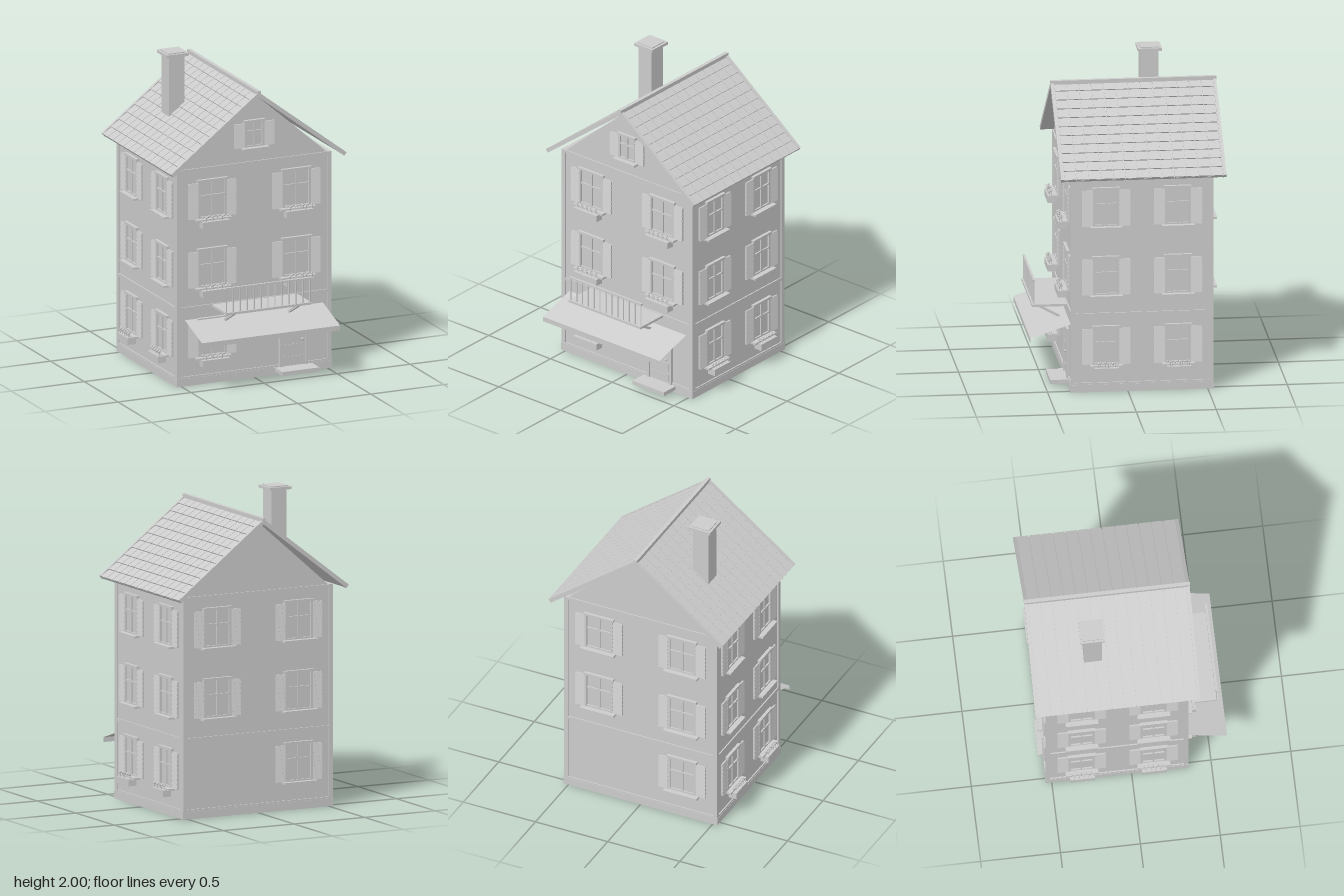
import * as THREE from 'three';
import { mergeGeometries } from 'three/addons/utils/BufferGeometryUtils.js';

const mat = new THREE.MeshStandardMaterial({ color: 0xcccccc, flatShading: true });
const thinMat = new THREE.MeshStandardMaterial({ color: 0xcccccc, flatShading: true, side: THREE.DoubleSide });

// Box between two corners on each axis
const span = (x0, x1, y0, y1, z0, z1) =>
  new THREE.BoxGeometry(x1 - x0, y1 - y0, z1 - z0).translate((x0 + x1) / 2, (y0 + y1) / 2, (z0 + z1) / 2);

function part(name, geoms, material = mat) {
  const mesh = new THREE.Mesh(mergeGeometries([].concat(geoms)), material);
  mesh.name = name;
  return mesh;
}

function group(name, ...children) {
  const g = new THREE.Group();
  g.name = name;
  if (children.length) g.add(...children);
  return g;
}

// Wall planes
const WX = 0.522, ZF = 0.348, ZB = -0.527;

// Window with its origin at the bottom centre of the sill, facing +z
function makeWindow({ w = 0.195, h = 0.25, shutter = 0.064, planter = false }) {
  const b = 0.015, y0 = 0.013, y1 = y0 + h, hw = w / 2;
  const g = group('window',
    part('windowPane', span(-hw + b, hw - b, y0, y1 - b, -0.01, 0.002)),
    part('windowFrame', [
      span(-hw, -hw + b, y0, y1 - b, -0.01, 0.014),
      span(hw - b, hw, y0, y1 - b, -0.01, 0.014),
      span(-hw - 0.005, hw + 0.005, y1 - b, y1, -0.01, 0.02),
      span(-hw + b, hw - b, y0, y0 + 0.01, -0.01, 0.012),
      span(-0.006, 0.006, y0, y1 - b, -0.01, 0.01),
      span(-hw + b, hw - b, y0 + h * 0.55, y0 + h * 0.55 + 0.01, -0.01, 0.012),
    ]),
    part('windowSill', span(-hw - 0.02, hw + 0.02, 0, y0, -0.01, 0.046)));

  // Louvred shutters on both sides
  const rows = 8, sh = h - 0.02, pitch = sh / rows;
  for (const s of [-1, 1]) {
    const slats = [new THREE.BoxGeometry(shutter, sh, 0.012).translate(0, y0 + sh / 2, 0.003)];
    for (let i = 0; i < rows; i++) {
      slats.push(new THREE.BoxGeometry(shutter + 0.002, pitch * 1.02, 0.005)
        .rotateX(-0.25).translate(0, y0 + (i + 0.5) * pitch, 0.011));
    }
    const m = part('shutter', slats);
    m.position.x = s * (hw + shutter / 2);
    g.add(m);
  }
  if (planter) g.add(makePlanter(w - 0.01));
  return g;
}

// Flower box hung below the sill, with a row of small plants
function makePlanter(w) {
  const plants = [], n = 10;
  for (let i = 0; i < n; i++) {
    const x = (i / (n - 1) - 0.5) * (w - 0.02), z = 0.054 + (i % 2 ? 0.007 : -0.007);
    plants.push(new THREE.CylinderGeometry(0.002, 0.002, 0.03, 5).translate(x, 0.012, z));
    plants.push(new THREE.SphereGeometry(0.0075, 6, 4).translate(x, 0.03, z));
  }
  return group('planter',
    part('flowerBox', span(-w / 2, w / 2, -0.04, 0.003, 0.016, 0.072)),
    part('flowers', plants));
}

function makeWalls() {
  const gable = new THREE.Shape([[-0.505, 1.395], [0.505, 1.395], [0, 1.835]].map(p => new THREE.Vector2(...p)));
  const trim = [];
  const T = 0.53, tf = 0.356, tb = -0.535, c = 0.028;
  // Corner posts
  for (const x of [-T, T - c]) {
    trim.push(span(x, x + c, 0.05, 1.395, tf - c, tf), span(x, x + c, 0.05, 1.395, tb, tb + c));
  }
  // Horizontal bands around the house
  for (const [y0, y1] of [[0.048, 0.06], [0.49, 0.51], [1.382, 1.4]]) trim.push(span(-T, T, y0, y1, tb, tf));
  return group('walls',
    part('wallBlock', span(-WX, WX, 0.02, 1.395, ZB, ZF)),
    part('base', span(-0.532, 0.532, 0, 0.048, -0.537, 0.358)),
    part('wallTrim', trim),
    part('gableBlock', new THREE.ExtrudeGeometry(gable, { depth: ZF - ZB, bevelEnabled: false }).translate(0, 0, ZB)));
}

function makeRoof() {
  const g = group('roof');
  const zc = -0.0925, halfZ = 0.5175, a = Math.atan2(0.46, 0.6), L = 0.756;
  const courses = 11, cols = 13, pitch = L / courses, tileW = (2 * halfZ - 0.04) / cols;
  for (const turn of [0, Math.PI]) {
    const tiles = [];
    for (let i = 0; i < courses; i++) {
      for (let j = 0; j < cols; j++) {
        tiles.push(new THREE.BoxGeometry(pitch + 0.003, 0.007, tileW - 0.005).rotateZ(0.11)
          .translate((i + 0.5) * pitch, -0.006, (j + 0.5 - cols / 2) * tileW));
      }
    }
    const slope = group('roofSlope',
      part('roofDeck', span(0, L, -0.022, -0.009, -halfZ + 0.01, halfZ - 0.01)),
      part('roofTiles', tiles),
      part('bargeBoards', [-1, 1].map(s => span(0, L, -0.024, 0.002, -0.01, 0.01).translate(0, 0, s * (halfZ - 0.01)))));
    slope.rotation.z = -a;
    const side = group('roofSide', slope);
    side.position.set(0, 1.86, zc);
    side.rotation.y = turn;
    g.add(side);
  }
  g.add(part('ridgeCap', span(-0.012, 0.012, 1.845, 1.87, zc - halfZ - 0.002, zc + halfZ + 0.002)));
  return g;
}

function makeDoor() {
  const x0 = 0.17, x1 = 0.365, f = 0.018, top = 0.365;
  const knob = part('doorKnob', new THREE.SphereGeometry(0.009, 10, 8));
  knob.position.set(0.325, 0.212, ZF + 0.02);
  const panels = [span(0.195, 0.34, 0.06, 0.108, ZF, ZF + 0.012), span(0.195, 0.34, 0.13, 0.185, ZF, ZF + 0.012)];
  // Glazing bars of the upper half
  panels.push(span(0.195, 0.31, 0.24, 0.248, ZF, ZF + 0.012), span(0.195, 0.31, 0.33, 0.338, ZF, ZF + 0.012));
  for (const x of [0.195, 0.249, 0.302]) panels.push(span(x, x + 0.008, 0.24, 0.338, ZF, ZF + 0.012));
  return group('door',
    part('doorFrame', [
      span(x0, x0 + f, 0.045, top, ZF - 0.01, ZF + 0.018),
      span(x1 - f, x1, 0.045, top, ZF - 0.01, ZF + 0.018),
      span(x0, x1, top - f, top, ZF - 0.01, ZF + 0.018)]),
    part('doorLeaf', span(x0 + f, x1 - f, 0.045, top - f, ZF - 0.01, ZF + 0.009)),
    part('doorPanels', panels), knob,
    part('doorStep', span(0.14, 0.395, 0.02, 0.046, 0.34, 0.47)));
}

function makeBalcony() {
  const bars = [], n = 13;
  for (let i = 0; i < n; i++) {
    const x = -0.285 + (0.57 * i) / (n - 1);
    bars.push(new THREE.CylinderGeometry(0.004, 0.004, 0.15, 6).translate(x, 0.58, 0.56));
  }
  const dy = 0.105, dz = 0.19;
  const struts = [-0.22, 0.22].map(x => new THREE.BoxGeometry(0.014, 0.014, Math.hypot(dy, dz))
    .rotateX(-Math.atan2(dy, dz)).translate(x, 0.438, 0.448));
  return group('balcony',
    part('balconyFloor', span(-0.292, 0.292, 0.492, 0.507, 0.34, 0.572)),
    part('balconyBars', bars),
    part('balconyHandrail', span(-0.292, 0.292, 0.655, 0.667, 0.553, 0.568)),
    part('balconyStruts', struts));
}

// Thin sloping canopy with a hanging front edge
function makeAwning() {
  const profile = [[0.425, 0.35], [0.343, 0.604], [0.312, 0.604]];
  const geo = new THREE.PlaneGeometry(0.946, 1, 1, 2);
  const p = geo.attributes.position;
  for (let i = 0; i < p.count; i++) {
    const [y, z] = profile[Math.floor(i / 2)];
    p.setXYZ(i, p.getX(i), y, z);
  }
  geo.computeVertexNormals();
  return part('awning', geo, thinMat);
}

function makeChimney() {
  return group('chimney',
    part('chimneyShaft', span(-0.343, -0.236, 1.54, 1.98, -0.276, -0.164)),
    part('chimneyCap', [span(-0.365, -0.215, 1.976, 1.994, -0.298, -0.147),
      span(-0.35, -0.23, 1.994, 2, -0.283, -0.162)]));
}

export function createModel() {
  const house = group('house', makeWalls(), makeRoof(), makeDoor(), makeBalcony(), makeAwning(), makeChimney());
  const place = (options, x, y, z, turn) => {
    const win = makeWindow(options);
    win.position.set(x, y, z);
    win.rotation.y = turn;
    house.add(win);
  };
  // Three floors of windows; the door takes one place at the front, the back has a blank one
  [0.165, 0.615, 1.06].forEach((y, floor) => {
    for (const x of [-0.288, 0.288]) {
      if (floor === 0 && x > 0) continue;
      place({ planter: true }, x, y, ZF, 0);
      place({}, x, y, ZB, Math.PI);
    }
    for (const z of [0.137, -0.313]) {
      for (const s of [-1, 1]) {
        place({ w: 0.165, shutter: 0.068, planter: floor === 0 }, s * WX, y, z, s * Math.PI / 2);
      }
    }
  });
  // Small attic window
  place({ w: 0.135, h: 0.175, shutter: 0.068 }, 0, 1.482, ZF, 0);
  return house;
}
